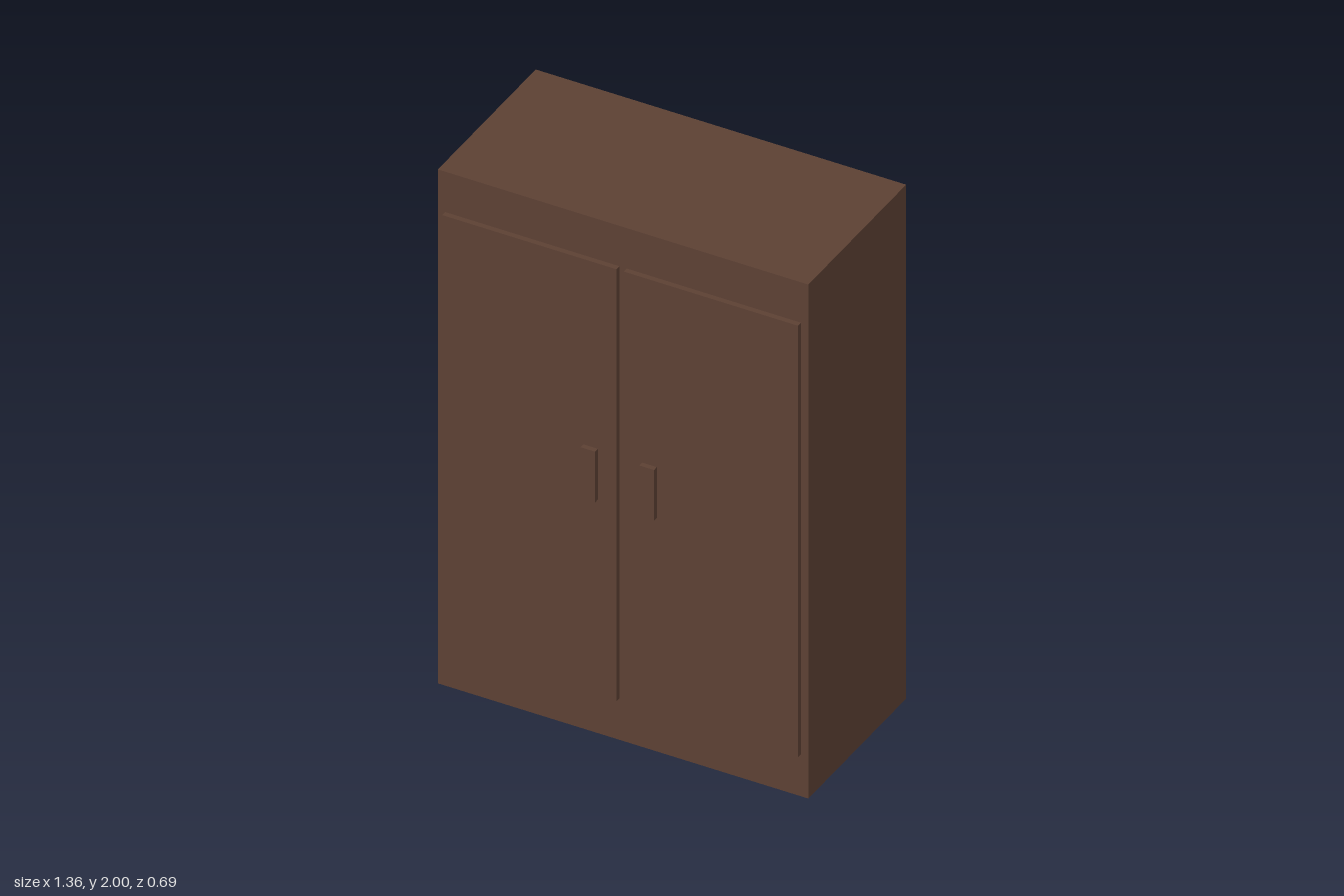
import * as THREE from 'three';

export function createModel() {
  const model = new THREE.Group();
  model.name = 'wardrobe';

  const darkWood = new THREE.MeshStandardMaterial({ color: 0x5c4033 });
  darkWood.name = 'dark brown wood';

  // Box given by its lower and upper corners
  function addBox(name, [x0, y0, z0], [x1, y1, z1]) {
    const mesh = new THREE.Mesh(new THREE.BoxGeometry(x1 - x0, y1 - y0, z1 - z0), darkWood);
    mesh.position.set((x0 + x1) / 2, (y0 + y1) / 2, (z0 + z1) / 2);
    mesh.name = name;
    model.add(mesh);
    return mesh;
  }

  // Solid carcass
  addBox('cabinetBody', [-0.68, 0, -0.345], [0.68, 2, 0.306]);

  // Door and pull handle on the left, mirrored to the right
  for (const [side, s] of [['left', 1], ['right', -1]]) {
    const door = addBox(side + 'Door', [0.013, 0.163, 0.306], [0.653, 1.843, 0.326]);
    const handle = addBox(side + 'Handle', [0.081, 0.925, 0.326], [0.135, 1.122, 0.345]);
    door.position.x *= s;
    handle.position.x *= s;
  }

  return model;
}
